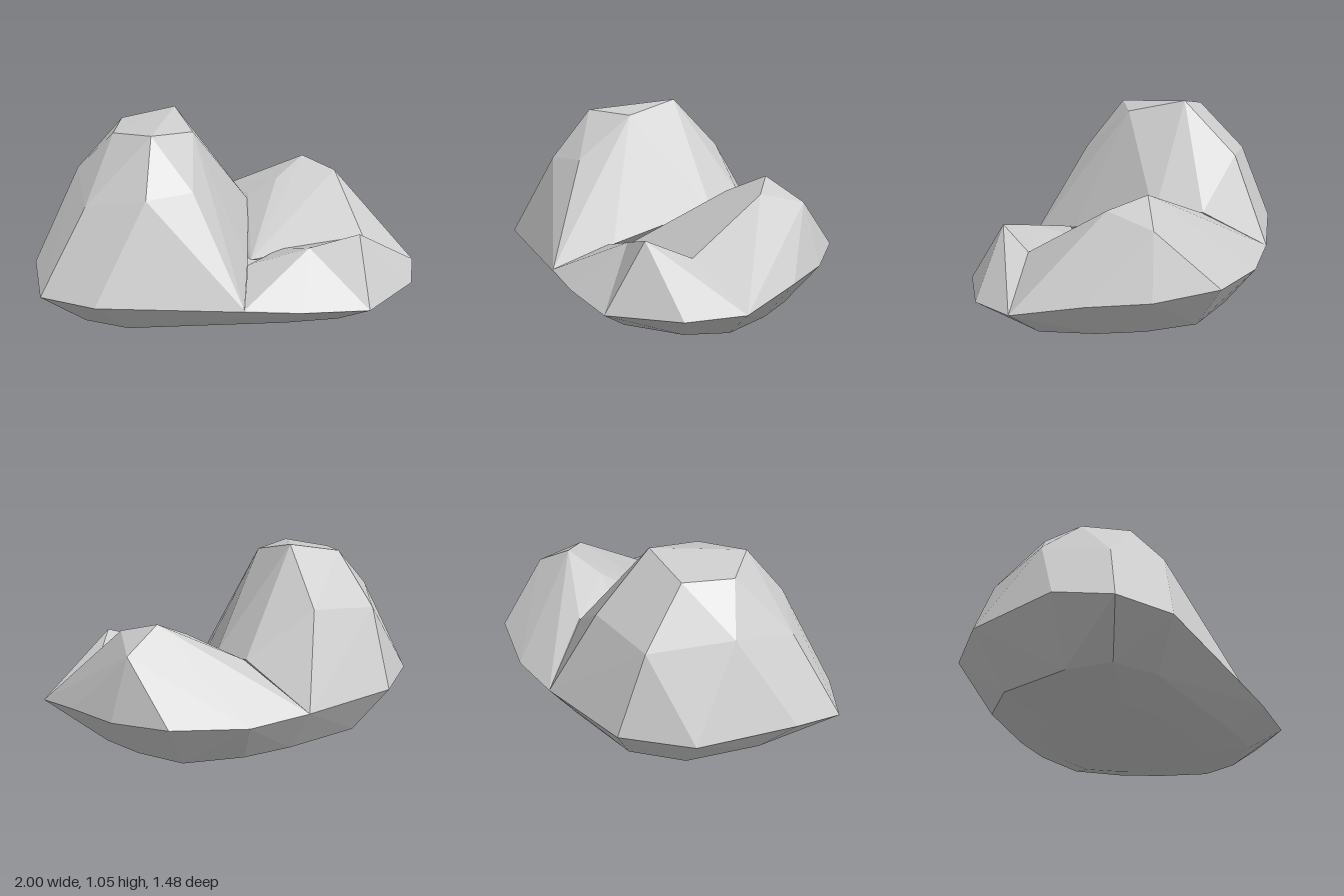
import * as THREE from 'three';
import { ConvexGeometry } from 'three/addons/geometries/ConvexGeometry.js';

const v = ([x, y, z]) => new THREE.Vector3(x, y, z);

// Widest outline of the boulder, running round from the left front
const rim = [
  [-1, 0.36, 0.35], [-0.93, 0.29, 0.63], [-0.66, 0.28, 0.74], [0.04, 0.23, 0.68],
  [0.32, 0.2, 0.66], [0.66, 0.18, 0.6], [0.93, 0.2, 0.32], [1, 0.22, 0.05],
  [0.85, 0.28, -0.27], [0.67, 0.29, -0.52], [0.42, 0.32, -0.74], [0.04, 0.3, -0.74],
  [-0.27, 0.32, -0.66], [-0.75, 0.34, -0.46], [-0.96, 0.35, -0.15],
];

export function createModel() {
  const group = new THREE.Group();
  const material = new THREE.MeshStandardMaterial({ color: 0xcccccc, flatShading: true });
  const addRock = (name, points) => {
    const mesh = new THREE.Mesh(new ConvexGeometry(points.map(v)), material);
    mesh.name = name;
    group.add(mesh);
  };

  // Underside: the rim tapers through two smaller rings to a shallow belly
  const lower = rim.map(([x, , z]) => [x * 0.8, 0.08 - 0.015 * x, z * 0.77]);
  const belly = rim.map(([x, , z]) => [x * 0.5, 0.022, z * 0.53]);
  addRock('base', [...rim, ...lower, ...belly, [-0.03, 0, 0.22]]);

  // Tall peak on one side
  addRock('mainPeak', [
    ...rim.filter(([x]) => x < 0), [0.04, 0.23, 0.68],
    [-0.3, 1.05, -0.13], [-0.58, 1.0, -0.08], [-0.6, 0.98, 0.18],
    [-0.4, 1.0, 0.34], [-0.2, 0.98, 0.17],
    [-0.8, 0.78, 0.1], [-0.7, 0.74, -0.3], [-0.35, 0.77, -0.42],
    [-0.42, 0.74, 0.55], [-0.72, 0.68, 0.45], [-0.2, 0.75, 0.46],
    [-0.01, 0.53, -0.41], [0.1, 0.5, -0.18], [0.07, 0.34, 0.36],
  ]);

  // Middle peak at the back, its rear face running on below the tall peak
  addRock('backPeak', [
    ...rim.filter(([x, , z]) => x > -0.3 && z < 0.1),
    [0.42, 0.715, -0.34], [0.59, 0.66, -0.22], [0.58, 0.6, -0.47],
    [0.26, 0.62, -0.2], [0, 0.53, -0.41], [0.1, 0.53, -0.2],
    [0.75, 0.45, -0.03], [0.69, 0.41, 0.18], [0.09, 0.33, 0.3],
  ]);

  // Low ridge at the front: a peak, and a shoulder falling away from it
  const shoulder = [0.38, 0.43, 0.39];
  const saddle = [0.69, 0.41, 0.18];
  addRock('frontPeak', [
    ...rim.filter(([x, , z]) => x > 0.6 && z > 0),
    [0.63, 0.5, 0.39], [0.79, 0.37, 0.22], saddle, shoulder,
  ]);
  addRock('frontShoulder', [
    ...rim.filter(([x, , z]) => x > 0 && z > 0.5),
    [0.07, 0.34, 0.39], [0.25, 0.36, 0.22], saddle, shoulder,
  ]);

  return group;
}
